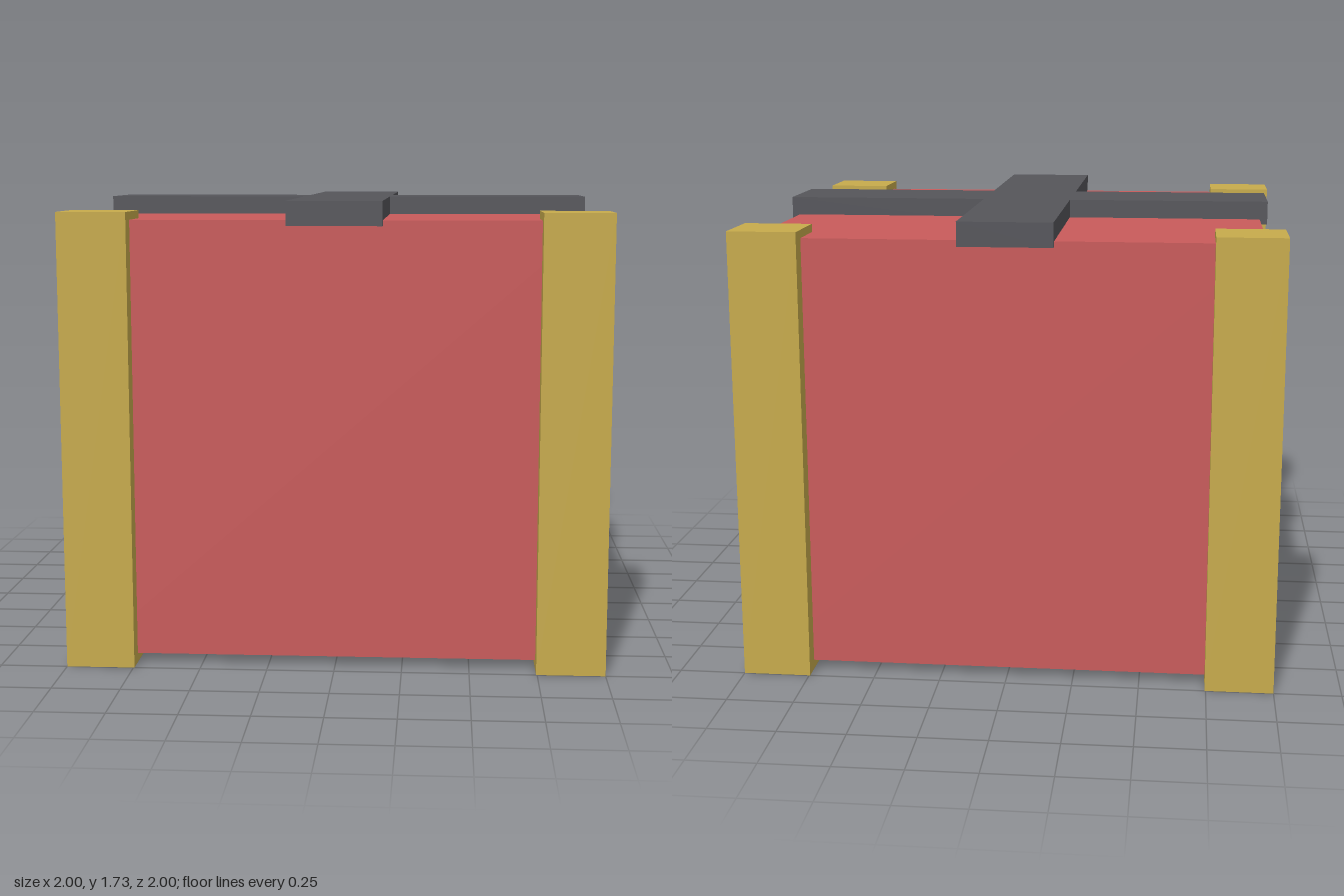
import * as THREE from 'three';

export function createModel() {
  const model = new THREE.Group();
  model.name = 'giftBox';

  const material = (name, color) => {
    const m = new THREE.MeshStandardMaterial({ color });
    m.name = name;
    return m;
  };
  const red = material('red', 0xc95b5b);
  const gold = material('gold', 0xc7ab4c);
  const grey = material('darkGrey', 0x55555a);

  const add = (name, geometry, mat, x, y, z) => {
    const mesh = new THREE.Mesh(geometry, mat);
    mesh.name = name;
    mesh.position.set(x, y, z);
    model.add(mesh);
    return mesh;
  };

  // Main box, raised slightly off the ground
  const bottom = 0.035, top = 1.66;
  add('boxBody', new THREE.BoxGeometry(1.86, top - bottom, 1.86), red, 0, (bottom + top) / 2, 0);

  // Four corner posts
  const postWidth = 0.254, postHeight = 1.69;
  const postGeometry = new THREE.BoxGeometry(postWidth, postHeight, postWidth);
  const offset = 1 - postWidth / 2;
  for (const [sx, side] of [[1, 'Left'], [-1, 'Right']]) {
    for (const [sz, end] of [[1, 'front'], [-1, 'back']]) {
      add(`${end}${side}Post`, postGeometry, gold, sx * offset, postHeight / 2, sz * offset);
    }
  }

  // Crossed straps on the lid, one extruded plus shape
  const a = 0.96, w = 0.174;
  const cross = new THREE.Shape([
    [w, w], [w, a], [-w, a], [-w, w], [-a, w], [-a, -w],
    [-w, -w], [-w, -a], [w, -a], [w, -w], [a, -w], [a, w],
  ].map(([x, y]) => new THREE.Vector2(x, y)));
  const crossGeometry = new THREE.ExtrudeGeometry(cross, { depth: 0.09, bevelEnabled: false });
  crossGeometry.rotateX(-Math.PI / 2);
  add('topCross', crossGeometry, grey, 0, 1.64, 0);

  return model;
}
